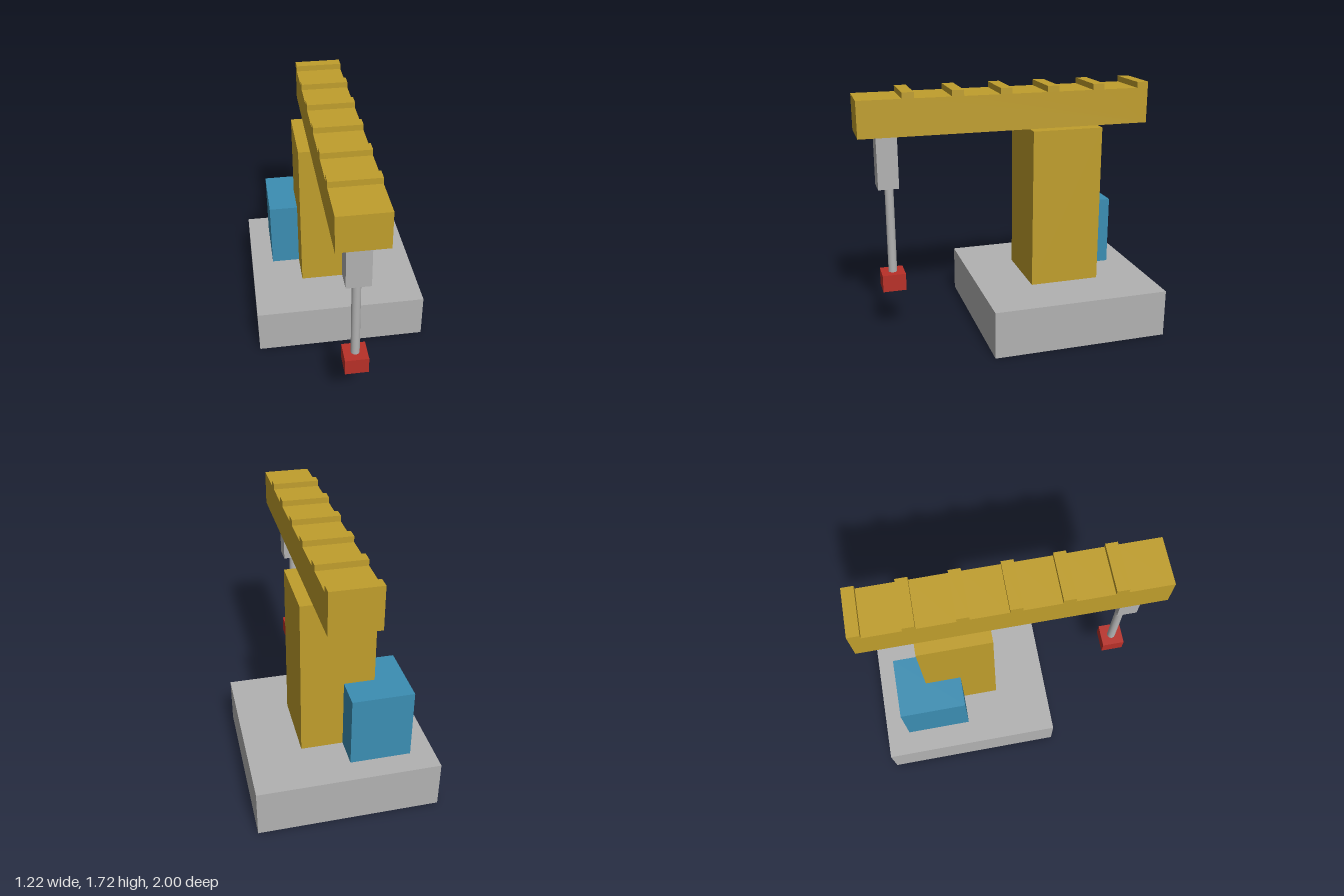
import * as THREE from 'three';

const material = (color) => new THREE.MeshStandardMaterial({ color });

export function createModel() {
  const model = new THREE.Group();
  const yellow = material(0xc09e2c);
  const grey = material(0xb2b2b2);
  const blue = material(0x3b8eb3);
  const red = material(0xb83028);

  // Box given by its extents along each axis
  function box(name, mat, [x0, x1], [y0, y1], [z0, z1], parent = model) {
    const mesh = new THREE.Mesh(new THREE.BoxGeometry(x1 - x0, y1 - y0, z1 - z0), mat);
    mesh.position.set((x0 + x1) / 2, (y0 + y1) / 2, (z0 + z1) / 2);
    mesh.name = name;
    parent.add(mesh);
    return mesh;
  }

  // Base, column and the cabinet set into the column's rear corner
  box('base', grey, [-0.61, 0.61], [0, 0.33], [-1, 0.225]);
  box('column', yellow, [-0.245, 0.245], [0.33, 1.43], [-0.635, -0.145]);
  box('cabinet', blue, [-0.45, -0.04], [0.33, 0.82], [-0.84, -0.39]);

  // Boom: a side profile with raised ribs, extruded across x
  const top = 1.675, ribTop = 1.715, ribWidth = 0.08, ribStep = 0.326;
  const profile = new THREE.Shape();
  profile.moveTo(-1, 1.43);
  profile.lineTo(1, 1.43);
  profile.lineTo(1, top);
  for (let i = 5; i >= 0; i--) {
    const z = -1 + i * ribStep;
    profile.lineTo(z + ribWidth, top);
    profile.lineTo(z + ribWidth, ribTop);
    profile.lineTo(z, ribTop);
    if (i > 0) profile.lineTo(z, top);
  }
  profile.closePath();
  const boomGeometry = new THREE.ExtrudeGeometry(profile, { depth: 0.326, bevelEnabled: false });
  boomGeometry.translate(0, 0, -0.163).rotateY(-Math.PI / 2);
  const boom = new THREE.Mesh(boomGeometry, yellow);
  boom.name = 'boom';
  model.add(boom);

  // Hanging tool: bracket, round rod and end block
  const tool = new THREE.Group();
  tool.name = 'tool';
  model.add(tool);
  box('bracket', grey, [-0.08, 0.08], [1.063, 1.43], [0.738, 0.877], tool);
  box('endBlock', red, [-0.08, 0.08], [0.33, 0.45], [0.717, 0.877], tool);
  const rod = new THREE.Mesh(new THREE.CylinderGeometry(0.03, 0.03, 0.613, 24), grey);
  rod.name = 'rod';
  rod.position.set(0, 0.7565, 0.796);
  tool.add(rod);

  return model;
}
